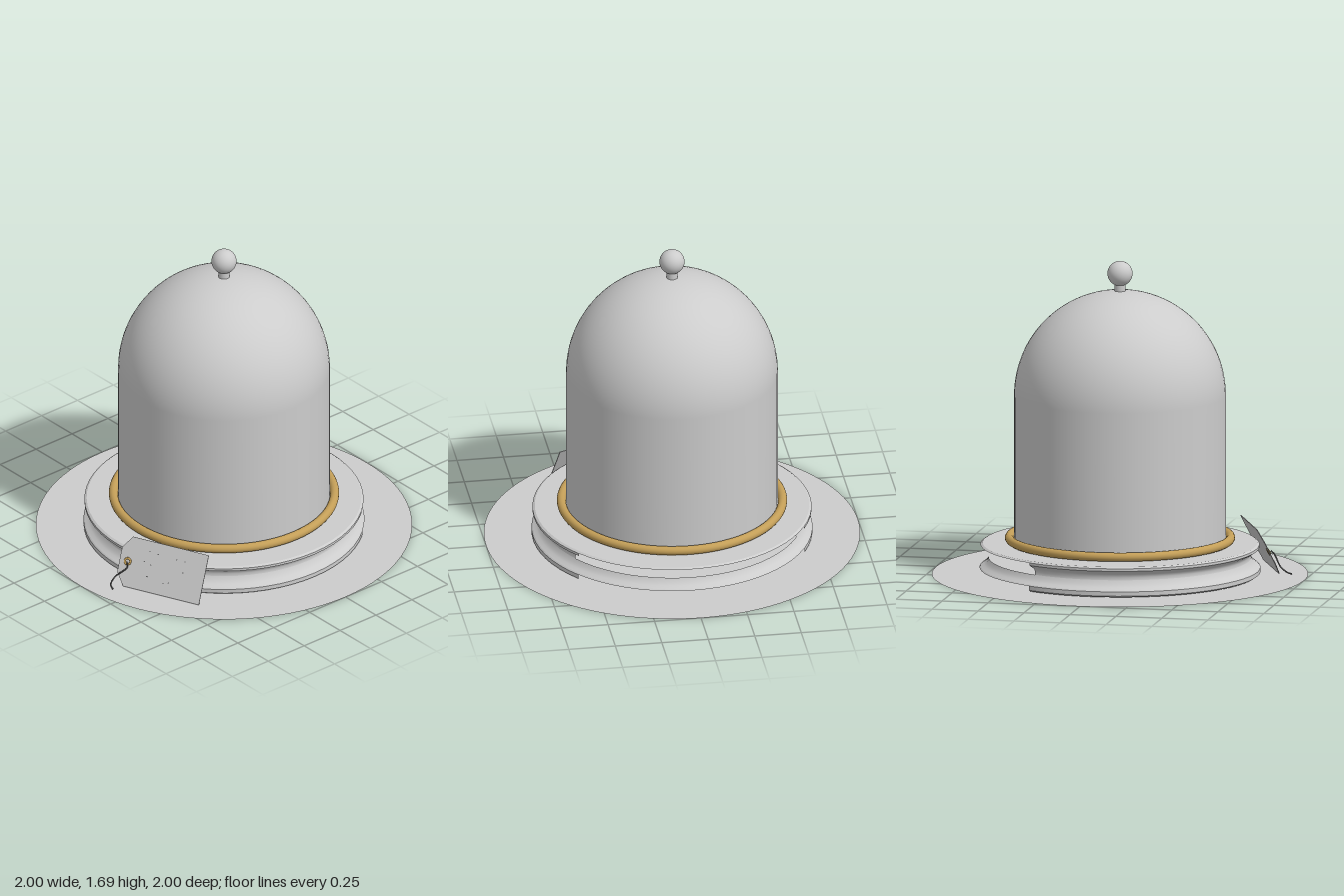
import * as THREE from 'three';

const material = (name, color, side = THREE.FrontSide) => {
  const m = new THREE.MeshStandardMaterial({ color, side });
  m.name = name;
  return m;
};
const grey = material('pale grey', 0xcccccc);
const greyDouble = material('pale grey', 0xcccccc, THREE.DoubleSide);
const gold = material('gold', 0xc49f58);
const dark = material('dark grey', 0x666666);

const part = (parent, name, geometry, mat, x = 0, y = 0, z = 0) => {
  const mesh = new THREE.Mesh(geometry, mat);
  mesh.name = name;
  mesh.position.set(x, y, z);
  parent.add(mesh);
  return mesh;
};
const STEP = Math.PI * 2 / 64;
const lathe = (points, start = 0, count = 64) => new THREE.LatheGeometry(
  points.map(([r, y]) => new THREE.Vector2(r, y)), count, start * STEP, count * STEP);

export function createModel() {
  const model = new THREE.Group();
  model.name = 'bellJar';

  // Thin round ground disc
  const ground = part(model, 'groundDisc', new THREE.CircleGeometry(1, 96), greyDouble);
  ground.rotation.x = -Math.PI / 2;

  // Moulded plinth: upward surfaces run all round, side bands are open at the back
  const plinth = new THREE.Group();
  plinth.name = 'plinth';
  model.add(plinth);
  part(plinth, 'plinthTop', lathe([[0.73, 0.168], [0, 0.168]]), grey);
  part(plinth, 'topChamfer', lathe([[0.742, 0.16], [0.73, 0.168]]), grey);
  part(plinth, 'lowerHollow', lathe([[0.74, 0.043], [0.722, 0.055], [0.707, 0.07], [0.698, 0.09]]), grey);
  part(plinth, 'lowerChamfer', lathe([[0.747, 0.036], [0.74, 0.043]]), grey);
  // Open bands run clockwise from the back right to the back left corner
  const first = -21;
  part(plinth, 'upperHollow', lathe([[0.698, 0.09], [0.695, 0.105], [0.702, 0.122], [0.732, 0.14]], first, 43), grey);
  part(plinth, 'upperRimUnderside', lathe([[0.732, 0.14], [0.742, 0.146]], first, 43), grey);
  part(plinth, 'upperRim', lathe([[0.742, 0.146], [0.742, 0.16]], first, 44), grey);
  part(plinth, 'lowerRim', lathe([[0.747, 0.013], [0.747, 0.036]], first, 44), grey);
  part(plinth, 'lowerRimUnderside', lathe([[0.735, 0.005], [0.747, 0.013]], first, 43), grey);

  // Gold ring around the foot of the dome
  const ring = part(model, 'goldRing', new THREE.TorusGeometry(0.588, 0.024, 16, 96), gold, 0, 0.195, 0);
  ring.rotation.x = Math.PI / 2;

  // Dome: straight wall with a hemispherical cap
  const profile = [[0.563, 0.168]];
  for (let i = 0; i <= 24; i++) {
    const a = i / 24 * Math.PI / 2;
    profile.push([0.563 * Math.cos(a), 0.965 + 0.563 * Math.sin(a)]);
  }
  part(model, 'dome', lathe(profile), grey);

  // Knob and its neck
  part(model, 'knobNeck', new THREE.CylinderGeometry(0.03, 0.03, 0.08, 24), grey, 0, 1.545, 0);
  part(model, 'knob', new THREE.SphereGeometry(0.067, 32, 20), grey, 0, 1.621, 0);

  // Hang tag leaning on the plinth
  const tag = new THREE.Group();
  tag.name = 'tag';
  tag.position.set(0.335, 0.125, 0.689);
  tag.rotation.set(-0.465, 0.41, 0, 'YXZ');
  model.add(tag);
  const outline = new THREE.Shape([[-0.222, -0.135], [0.226, -0.135], [0.226, 0.135],
    [-0.222, 0.135], [-0.272, 0.068], [-0.272, -0.068]].map(([x, y]) => new THREE.Vector2(x, y)));
  const hole = new THREE.Path();
  hole.absarc(-0.225, 0, 0.013, 0, Math.PI * 2, true);
  outline.holes.push(hole);
  part(tag, 'tagCard', new THREE.ExtrudeGeometry(outline, { depth: 0.004, bevelEnabled: false }), grey, 0, 0, -0.002);
  part(tag, 'eyelet', new THREE.TorusGeometry(0.016, 0.006, 10, 24), gold, -0.225, 0, 0.002);

  // Tiny flecks on the card
  const flecks = [[-0.11, 0.08], [-0.06, 0.075], [0.05, 0.07], [0.1, 0.07], [-0.13, 0.02],
    [-0.09, 0.01], [0.1, 0.01], [-0.1, -0.055], [0.0, -0.07], [0.03, -0.06]];
  for (const [x, y] of flecks) {
    part(tag, 'fleck', new THREE.BoxGeometry(0.007, 0.005, 0.002), dark, x, y, 0.002);
  }

  // String hanging from the eyelet
  const path = new THREE.CatmullRomCurve3([[0.135, 0.13, 0.79], [0.155, 0.11, 0.805], [0.11, 0.05, 0.85],
    [0.115, 0.02, 0.885], [0.152, 0.007, 0.9]].map((p) => new THREE.Vector3(...p)));
  part(model, 'string', new THREE.TubeGeometry(path, 32, 0.004, 8), dark);

  return model;
}
